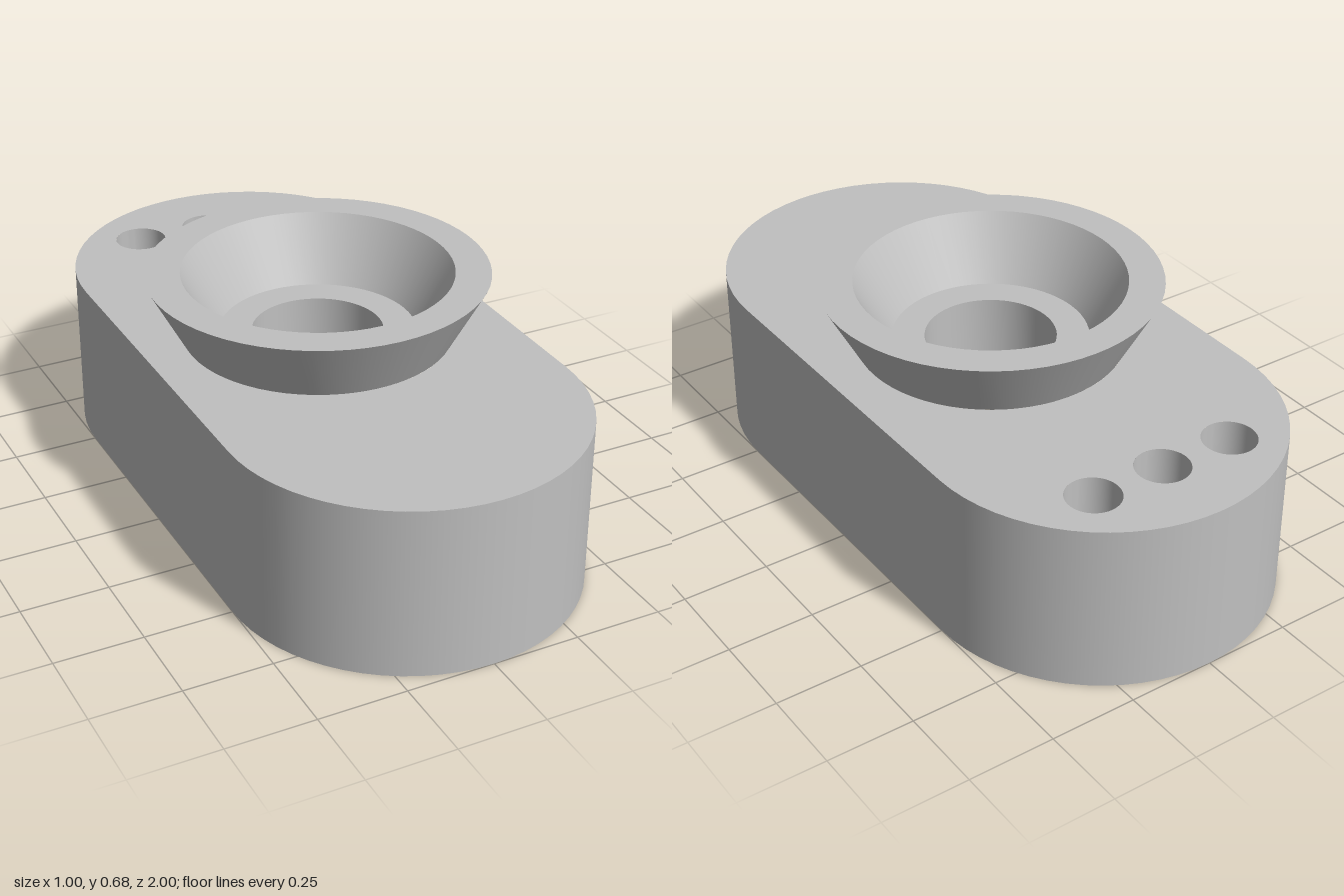
import * as THREE from 'three';
import { toCreasedNormals } from 'three/addons/utils/BufferGeometryUtils.js';

const HEIGHT = 0.49, POCKET = 0.22, SEG = 64;
const BORE = 0.185, COLLAR = 0.38, PIN = 0.075, PIN_Z = -0.77, PIN_DEPTH = 0.22;
const PIN_X = [-0.22, 0, 0.22];

// Outline of a slot along z: end radius r, end centres at +-h
function slotPoints(r, h) {
  const pts = [];
  for (const end of [0, 1]) {
    for (let i = 0; i <= SEG / 2; i++) {
      const t = Math.PI * (end + i / (SEG / 2));
      pts.push({ c: Math.cos(t), s: Math.sin(t), x: r * Math.cos(t), z: (end ? -h : h) + r * Math.sin(t) });
    }
  }
  return pts;
}

const slotShape = (r, h) => new THREE.Shape(slotPoints(r, h).map(p => new THREE.Vector2(p.x, p.z)));

// Smooth upright wall around a slot, facing outward (1) or inward (-1)
function slotWall(r, h, y0, y1, side) {
  const pts = slotPoints(r, h), pos = [], nor = [], idx = [];
  pts.forEach((p, i) => {
    pos.push(p.x, y0, p.z, p.x, y1, p.z);
    for (let k = 0; k < 2; k++) nor.push(side * p.c, 0, side * p.s);
    const a = 2 * i, b = 2 * ((i + 1) % pts.length);
    if (side > 0) idx.push(a, a + 1, b, b, a + 1, b + 1);
    else idx.push(a, b, a + 1, b, b + 1, a + 1);
  });
  const g = new THREE.BufferGeometry();
  g.setAttribute('position', new THREE.Float32BufferAttribute(pos, 3));
  g.setAttribute('normal', new THREE.Float32BufferAttribute(nor, 3));
  g.setIndex(idx);
  return g;
}

// Flat horizontal face with holes, facing up (1) or down (-1)
function plate(shape, y, side) {
  return new THREE.ShapeGeometry(shape, SEG).rotateX(-side * Math.PI / 2).translate(0, y, 0);
}

function hole(x, y, r) {
  const path = new THREE.Path();
  path.absarc(x, y, r, 0, Math.PI * 2, true);
  return path;
}

function turned(profile) {
  const g = new THREE.LatheGeometry(profile.map(p => new THREE.Vector2(...p)), SEG);
  return toCreasedNormals(g, 0.5);
}

export function createModel() {
  const model = new THREE.Group();
  model.name = 'slottedBlock';
  const grey = new THREE.MeshStandardMaterial({ color: 0xc0c0c0 });
  grey.name = 'grey';
  const add = (name, geometry) => {
    const mesh = new THREE.Mesh(geometry, grey);
    mesh.name = name;
    model.add(mesh);
    return mesh;
  };

  // Rounded block
  add('blockWall', slotWall(0.5, 0.5, 0, HEIGHT, 1));
  const top = slotShape(0.5, 0.5);
  top.holes.push(hole(0, 0, COLLAR), ...PIN_X.map(x => hole(x, -PIN_Z, PIN)));
  add('blockTop', plate(top, HEIGHT, 1));
  const bottom = slotShape(0.5, 0.5);
  bottom.holes.push(new THREE.Path(slotPoints(0.3, 0.21).map(p => new THREE.Vector2(p.x, p.z)).reverse()));
  add('blockBottom', plate(bottom, 0, -1));

  // Slot pocket underneath
  add('pocketWall', slotWall(0.3, 0.21, 0, POCKET, -1));
  const ceiling = slotShape(0.3, 0.21);
  ceiling.holes.push(hole(0, 0, BORE));
  add('pocketCeiling', plate(ceiling, POCKET, -1));

  // Flared collar, its seat and the bore down to the pocket
  add('flaredCollar', turned([
    [COLLAR, HEIGHT], [0.48, 0.675], [COLLAR, 0.675],
    [0.277, HEIGHT], [BORE, HEIGHT], [BORE, POCKET],
  ]));

  // Three blind holes at the back
  const pinHole = turned([[PIN, HEIGHT], [PIN, HEIGHT - PIN_DEPTH], [0, HEIGHT - PIN_DEPTH]]);
  for (const x of PIN_X) add('blindHole', pinHole).position.set(x, 0, PIN_Z);

  return model;
}
